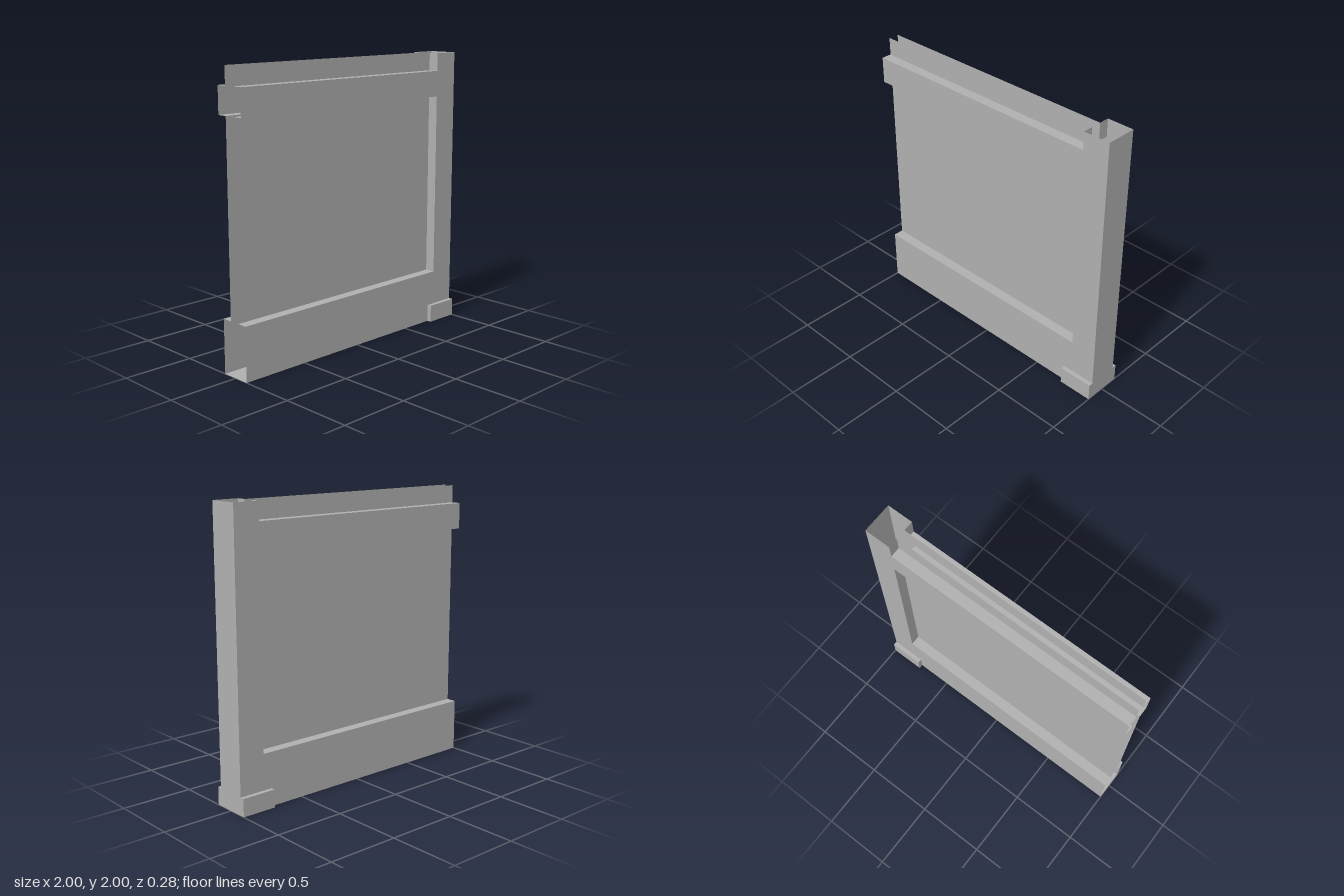
import * as THREE from 'three';

export function createModel() {
  const group = new THREE.Group();
  const grey = new THREE.MeshStandardMaterial({ color: 0xb0b0b0, side: THREE.DoubleSide });
  grey.name = 'plain grey';

  const D = 0.11, P = 0.037, F = 0.141; // half depths: frame, recessed panel, foot
  const inner = 0.81;                   // where the post begins
  const railTop = 0.375, beamLow = 1.69, beamTop = 1.875;

  function add(name, geometry, x, y, z, rx = 0, ry = 0) {
    const mesh = new THREE.Mesh(geometry, grey);
    mesh.name = name;
    mesh.position.set(x, y, z);
    mesh.rotation.set(rx, ry, 0);
    group.add(mesh);
  }

  // Upright sheet facing front (s = 1) or back (s = -1)
  const wall = (name, x0, x1, y0, y1, z, s) =>
    add(name, new THREE.PlaneGeometry(x1 - x0, y1 - y0), (x0 + x1) / 2, (y0 + y1) / 2, z * s, 0, s > 0 ? 0 : Math.PI);
  // Level sheet facing up (1) or down (-1)
  const level = (name, x0, x1, y, z0, z1, up) =>
    add(name, new THREE.PlaneGeometry(x1 - x0, Math.abs(z1 - z0)), (x0 + x1) / 2, y, (z0 + z1) / 2, -up * Math.PI / 2);
  // Sheet facing along x
  const side = (name, x, y0, y1, z0, z1, dir) =>
    add(name, new THREE.PlaneGeometry(Math.abs(z1 - z0), y1 - y0), x, (y0 + y1) / 2, (z0 + z1) / 2, 0, dir * Math.PI / 2);

  // Both faces of the hollow wall; its top and far end stay open
  for (const s of [1, -1]) {
    wall('bottomRail', -1, inner, 0, railTop, D, s);
    wall('topRail', -1, inner, beamLow, beamTop, D, s);
    wall('post', inner, 1, 0, 2, D, s);
    wall('recessedPanel', -1, inner, railTop, beamLow, P, s);
    wall('upperLip', -1, inner, beamTop, 2, P, s);

    // Returns between the frame and the recessed sheets
    level('bottomRailLedge', -1, inner, railTop, s * P, s * D, 1);
    level('topRailUnderside', -1, inner, beamLow, s * P, s * D, -1);
    level('topRailLedge', -1, inner, beamTop, s * P, s * D, 1);
    side('postReturn', inner, railTop, beamLow, s * P, s * D, -1);
    side('postUpperReturn', inner, beamTop, 2, s * P, s * D, -1);

    // Foot block under the post
    add('foot', new THREE.BoxGeometry(0.25, 0.125, F - D), 0.875, 0.0625, s * (F + D) / 2);
  }

  side('postEnd', 1, 0, 2, -D, D, 1);
  level('base', -1, 1, 0, -D, D, -1);
  return group;
}
